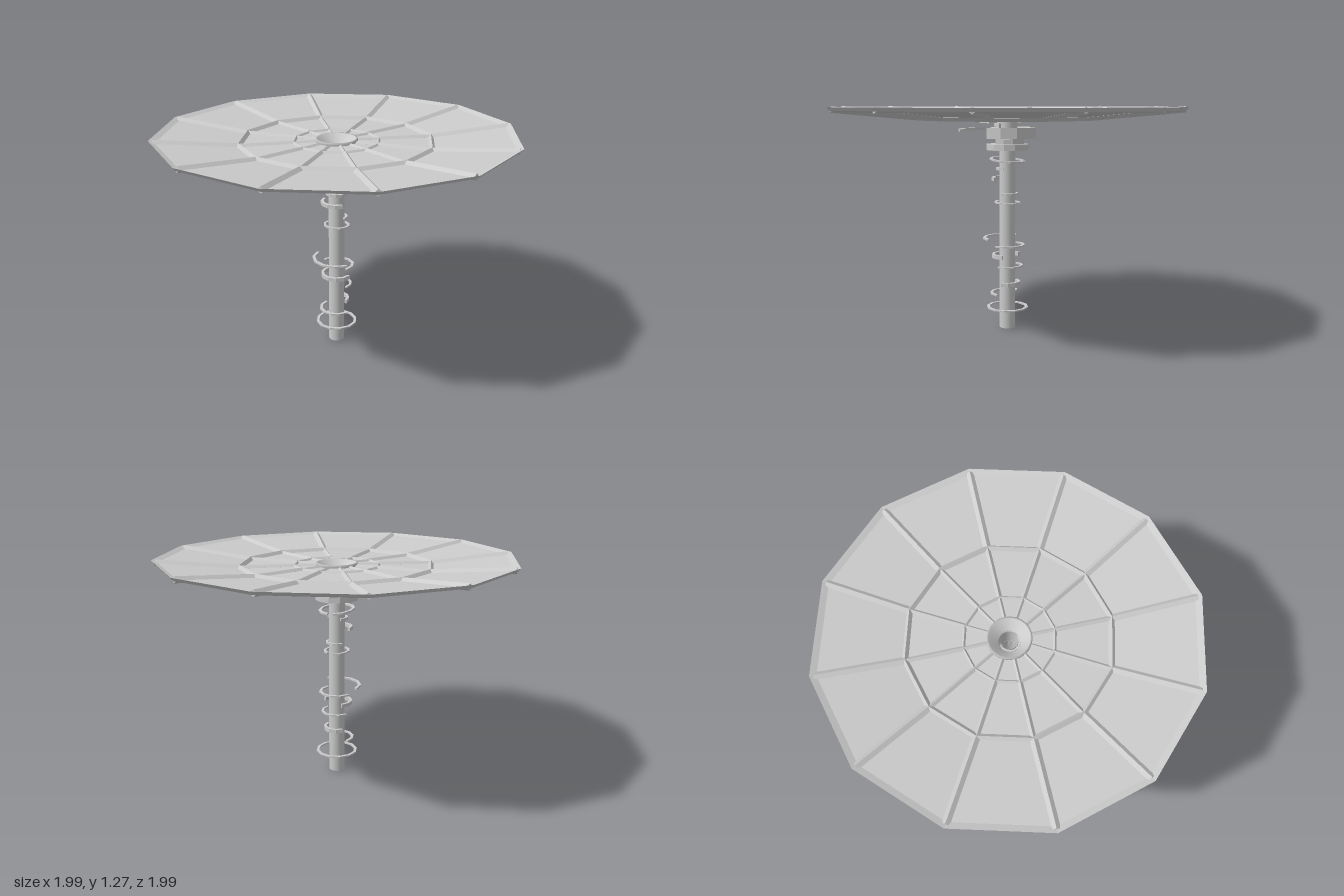
import * as THREE from 'three';

const material = new THREE.MeshStandardMaterial({ color: 0xcccccc, flatShading: true, side: THREE.DoubleSide });
const smooth = new THREE.MeshStandardMaterial({ color: 0xcccccc, side: THREE.DoubleSide });
const SIDES = 12;

function add(parent, name, geometry, mat = material) {
  const mesh = new THREE.Mesh(geometry, mat);
  mesh.name = name;
  parent.add(mesh);
  return mesh;
}

function lathe(points, segments) {
  return new THREE.LatheGeometry(points.map(([r, y]) => new THREE.Vector2(r, y)), segments);
}

// Flat ring or arc: angle 0 is the front (+z), sweep in degrees, tilt lifts the front side
function arcBand({ r, width, y, h, centre = 0, sweep = 360, tilt = 0 }) {
  const n = Math.max(4, Math.round(sweep / 30));
  const outer = [], inner = [];
  for (let i = 0; i <= n; i++) {
    const a = THREE.MathUtils.degToRad(centre - sweep / 2 + (sweep * i) / n);
    // shape y becomes -z once laid flat
    outer.push(new THREE.Vector2(r * Math.sin(a), -r * Math.cos(a)));
    inner.push(new THREE.Vector2((r - width) * Math.sin(a), -(r - width) * Math.cos(a)));
  }
  const shape = new THREE.Shape([...outer, ...inner.reverse()]);
  const g = new THREE.ExtrudeGeometry(shape, { depth: h, bevelEnabled: false });
  g.rotateX(-Math.PI / 2).translate(0, y - h / 2, 0);
  const p = g.attributes.position;
  for (let i = 0; i < p.count; i++) p.setY(i, p.getY(i) + (tilt * p.getZ(i)) / r);
  g.computeVertexNormals();
  return g;
}

// Diamond-section bar between two points
function bar(a, b, halfWidth, halfHeight) {
  const dir = b.clone().sub(a);
  const g = new THREE.CylinderGeometry(1, 1, dir.length(), 4);
  g.scale(halfWidth, 1, halfHeight);
  dir.normalize();
  const side = new THREE.Vector3().crossVectors(dir, new THREE.Vector3(0, 1, 0)).normalize();
  const up = new THREE.Vector3().crossVectors(side, dir);
  g.applyMatrix4(new THREE.Matrix4().makeBasis(side, dir, up));
  const mid = a.clone().add(b).multiplyScalar(0.5);
  return g.translate(mid.x, mid.y, mid.z);
}

function onRing([r, y], i) {
  const a = (i / SIDES) * Math.PI * 2;
  return new THREE.Vector3(r * Math.sin(a), y, r * Math.cos(a));
}

function createDish() {
  const dish = new THREE.Group();
  dish.name = 'dish';
  const rim = [0.975, 1.256], middle = [0.53, 1.215], inner = [0.235, 1.217], hub = [0.1, 1.22];

  add(dish, 'panels', lathe([hub, inner, middle, rim], SIDES));
  add(dish, 'rim', lathe([[0.995, 1.268], [0.96, 1.254], [0.95, 1.243], [0.98, 1.25], [0.995, 1.268]], SIDES));

  // Radial ribs and the two polygon rings
  for (let i = 0; i < SIDES; i++) {
    add(dish, 'outerRib', bar(onRing(middle, i), onRing(rim, i), 0.021, 0.017));
    add(dish, 'middleRib', bar(onRing(inner, i), onRing(middle, i), 0.014, 0.014));
    add(dish, 'innerRib', bar(onRing(hub, i), onRing(inner, i), 0.01, 0.01));
    add(dish, 'middleRing', bar(onRing(middle, i), onRing(middle, i + 1), 0.016, 0.018));
    add(dish, 'innerRing', bar(onRing(inner, i), onRing(inner, i + 1), 0.009, 0.01));
  }

  // Open funnel at the centre
  add(dish, 'funnel', lathe([[0.098, 1.2], [0.115, 1.215], [0.115, 1.235], [0.105, 1.235], [0.055, 1.185]], 24), smooth);
  return dish;
}

export function createModel() {
  const model = new THREE.Group();
  model.add(createDish());

  // Hollow column with its neck
  add(model, 'column', new THREE.CylinderGeometry(0.045, 0.045, 1.19, 24, 1, true).translate(0, 0.595, 0), smooth);
  add(model, 'neck', new THREE.CylinderGeometry(0.058, 0.058, 0.06, 24, 1, true).translate(0, 1.16, 0), smooth);
  add(model, 'neckTaper', new THREE.CylinderGeometry(0.058, 0.045, 0.07, 24, 1, true).translate(0, 1.095, 0), smooth);

  // Collars under the dish
  const collars = [
    { r: 0.12, width: 0.075, y: 1.045, h: 0.033 },
    { r: 0.095, width: 0.05, y: 1.077, h: 0.03, centre: 180, sweep: 190 },
    { r: 0.16, width: 0.05, y: 1.125, h: 0.06, centre: 180, sweep: 194 },
    { r: 0.28, width: 0.025, y: 1.14, h: 0.014, centre: -12, sweep: 144 },
    { r: 0.16, width: 0.03, y: 1.187, h: 0.014, sweep: 180 },
    { r: 0.075, width: 0.03, y: 1.155, h: 0.045, sweep: 180 },
  ];
  for (const c of collars) add(model, 'collar', arcBand(c));

  // Loose rings and arcs around the column, from the ground up
  const loops = [
    { r: 0.12, width: 0.016, y: 0.12, h: 0.008 },
    { r: 0.1, width: 0.016, y: 0.203, h: 0.009, sweep: 180 },
    { r: 0.075, width: 0.016, y: 0.262, h: 0.022, centre: 180, sweep: 160 },
    { r: 0.09, width: 0.014, y: 0.365, h: 0.008, centre: 180, sweep: 180 },
    { r: 0.09, width: 0.016, y: 0.422, h: 0.022, sweep: 218 },
    { r: 0.102, width: 0.016, y: 0.485, h: 0.008, centre: 180, sweep: 190 },
    { r: 0.14, width: 0.016, y: 0.525, h: 0.01, sweep: 150 },
    { r: 0.075, width: 0.014, y: 0.73, h: 0.008, sweep: 330, centre: 20, tilt: 0.003 },
    { r: 0.063, width: 0.014, y: 0.78, h: 0.01, centre: 180, sweep: 170 },
    { r: 0.09, width: 0.018, y: 0.866, h: 0.02, sweep: 144 },
    { r: 0.064, width: 0.014, y: 0.922, h: 0.014, sweep: 216 },
    { r: 0.102, width: 0.016, y: 0.971, h: 0.009, sweep: 340, centre: 30, tilt: 0.011 },
  ];
  for (const l of loops) add(model, 'columnRing', arcBand(l));

  return model;
}
